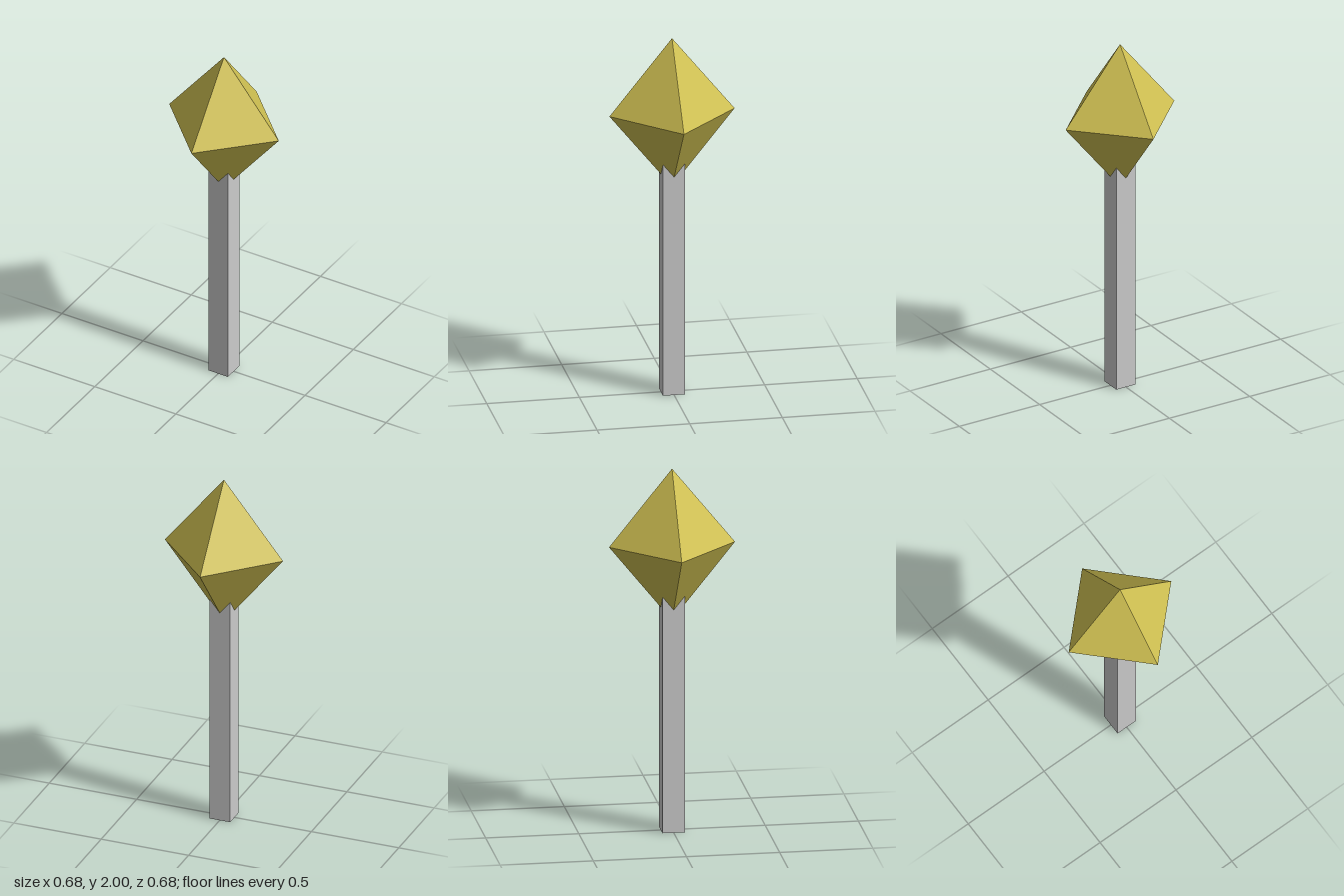
import * as THREE from 'three';

export function createModel() {
  const model = new THREE.Group();

  // Square hollow post, open at both ends
  const half = 0.06, postHeight = 1.32;
  const postGeometry = new THREE.CylinderGeometry(half * Math.SQRT2, half * Math.SQRT2, postHeight, 4, 1, true);
  postGeometry.rotateY(Math.PI / 4);
  postGeometry.translate(0, postHeight / 2, 0);
  const post = new THREE.Mesh(postGeometry, new THREE.MeshStandardMaterial({
    color: 0xcccccc, flatShading: true, side: THREE.DoubleSide,
  }));
  post.name = 'post';
  model.add(post);

  // Stretched octahedral head whose lower tip sinks into the post
  const headGeometry = new THREE.OctahedronGeometry(1, 0);
  headGeometry.scale(0.338, 0.42, 0.338);
  headGeometry.translate(0, 1.58, 0);
  const head = new THREE.Mesh(headGeometry, new THREE.MeshStandardMaterial({
    color: 0xd0c152, flatShading: true,
  }));
  head.name = 'head';
  model.add(head);

  return model;
}
